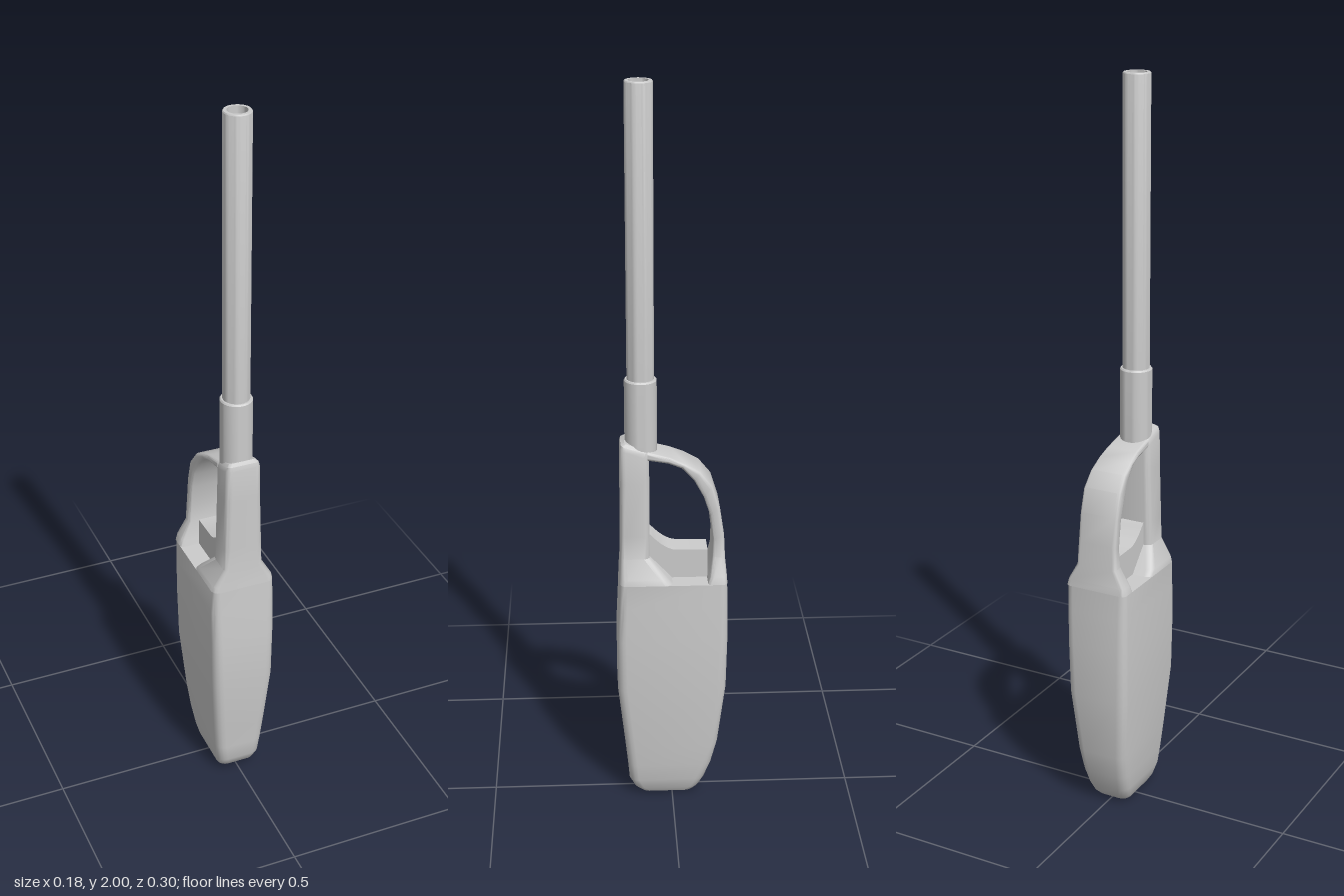
import * as THREE from 'three';
import { toCreasedNormals, mergeVertices } from 'three/addons/utils/BufferGeometryUtils.js';

const CORNER = 5; // points per rounded corner

// Rounded rectangle spanning x = +-hw and the line from back point to front point ([z, y] each)
function ring([front, back, hw, radius]) {
  const depth = Math.hypot(front[0] - back[0], front[1] - back[1]) / 2;
  const r = Math.min(radius, depth * 0.95, hw * 0.95);
  const points = [];
  for (let c = 0; c < 4; c++) {
    const sx = c === 0 || c === 3 ? 1 : -1;
    const sd = c < 2 ? 1 : -1;
    for (let i = 0; i < CORNER; i++) {
      const a = (c + i / (CORNER - 1)) * Math.PI / 2;
      const x = sx * (hw - r) + r * Math.cos(a);
      const t = (sd * (depth - r) + r * Math.sin(a)) / (2 * depth) + 0.5;
      points.push([x, back[1] + (front[1] - back[1]) * t, back[0] + (front[0] - back[0]) * t]);
    }
  }
  return points;
}

// Skin a list of rings and close both ends
function loft(sections, crease = 0.6) {
  const n = CORNER * 4;
  const positions = [];
  const index = [];
  sections.forEach((s) => ring(s).forEach((p) => positions.push(...p)));
  for (let k = 0; k < sections.length - 1; k++) {
    for (let i = 0; i < n; i++) {
      const a = k * n + i;
      const b = k * n + (i + 1) % n;
      index.push(a, a + n, b, b, a + n, b + n);
    }
  }
  const last = (sections.length - 1) * n;
  for (let i = 1; i < n - 1; i++) {
    index.push(0, i, i + 1);
    index.push(last, last + i + 1, last + i);
  }
  const geometry = new THREE.BufferGeometry();
  geometry.setAttribute('position', new THREE.Float32BufferAttribute(positions, 3));
  geometry.setIndex(index);
  return toCreasedNormals(mergeVertices(geometry), crease);
}

// Level section at height y
const level = (y, zFront, zBack, hw, r) => [[zFront, y], [zBack, y], hw, r];

export function createModel() {
  const model = new THREE.Group();
  const material = new THREE.MeshStandardMaterial({ color: 0xcccccc });
  const add = (name, geometry) => {
    const mesh = new THREE.Mesh(geometry, material);
    mesh.name = name;
    model.add(mesh);
    return mesh;
  };

  // Handle, up to the floor of the trigger opening
  add('handle', loft([
    level(0, 0.07, -0.045, 0.036, 0.02),
    level(0.005, 0.088, -0.06, 0.048, 0.024),
    level(0.02, 0.105, -0.075, 0.056, 0.026),
    level(0.05, 0.12, -0.09, 0.063, 0.026),
    level(0.1, 0.124, -0.109, 0.069, 0.026),
    level(0.17, 0.131, -0.126, 0.075, 0.026),
    level(0.35, 0.15, -0.147, 0.088, 0.026),
    level(0.5, 0.15, -0.15, 0.09, 0.024),
    level(0.6, 0.145, -0.149, 0.09, 0.022),
    level(0.67, 0.142, -0.147, 0.089, 0.02),
  ]));

  // Front post, starting with the tapered shoulder
  add('frontPost', loft([
    level(0.67, 0.142, 0.0, 0.089, 0.02),
    level(0.685, 0.141, 0.013, 0.086, 0.02),
    level(0.735, 0.139, 0.06, 0.056, 0.016),
    level(0.8, 0.139, 0.06, 0.054, 0.016),
    level(0.95, 0.138, 0.06, 0.05, 0.016),
    [[0.138, 1.045], [0.06, 1.018], 0.048, 0.016],
    [[0.135, 1.056], [0.06, 1.032], 0.045, 0.014],
    [[0.125, 1.062], [0.062, 1.039], 0.038, 0.01],
  ]));

  // Curved guard behind the trigger, from the back shoulder to the post
  add('triggerGuard', loft([
    [[-0.095, 0.67], [-0.147, 0.67], 0.089, 0.012],
    [[-0.1, 0.69], [-0.146, 0.69], 0.084, 0.012],
    [[-0.108, 0.74], [-0.142, 0.735], 0.059, 0.01],
    [[-0.109, 0.79], [-0.139, 0.8], 0.056, 0.01],
    [[-0.1, 0.86], [-0.127, 0.88], 0.056, 0.01],
    [[-0.084, 0.91], [-0.107, 0.943], 0.056, 0.01],
    [[-0.058, 0.957], [-0.075, 0.983], 0.053, 0.01],
    [[-0.025, 0.992], [-0.035, 1.006], 0.05, 0.008],
    [[0.01, 1.005], [0.005, 1.022], 0.048, 0.008],
    [[0.065, 1.014], [0.065, 1.038], 0.046, 0.008],
  ]));

  // Trigger: concave profile extruded across the opening
  const profile = new THREE.Shape();
  profile.moveTo(0.07, 0.66);
  profile.lineTo(0.07, 0.805);
  profile.lineTo(0.058, 0.798);
  profile.quadraticCurveTo(0.02, 0.755, -0.01, 0.752);
  profile.lineTo(-0.096, 0.75);
  profile.lineTo(-0.096, 0.66);
  profile.closePath();
  const trigger = new THREE.ExtrudeGeometry(profile, { depth: 0.07, bevelEnabled: false, curveSegments: 8 });
  trigger.translate(0, 0, -0.035).rotateY(-Math.PI / 2);
  add('trigger', toCreasedNormals(trigger, 0.6));

  // Collar and hollow barrel, turned about the same axis
  const turned = (name, points) => {
    const lathe = new THREE.LatheGeometry(points.map(([r, y]) => new THREE.Vector2(r, y)), 32);
    add(name, toCreasedNormals(lathe, 0.6)).position.z = 0.081;
  };
  turned('collar', [[0, 1.02], [0.043, 1.02], [0.043, 1.226], [0.04, 1.23], [0.03, 1.23]]);
  turned('barrel', [[0.036, 1.2], [0.036, 1.997], [0.034, 2], [0.026, 2], [0.026, 1.24], [0, 1.24]]);

  return model;
}
